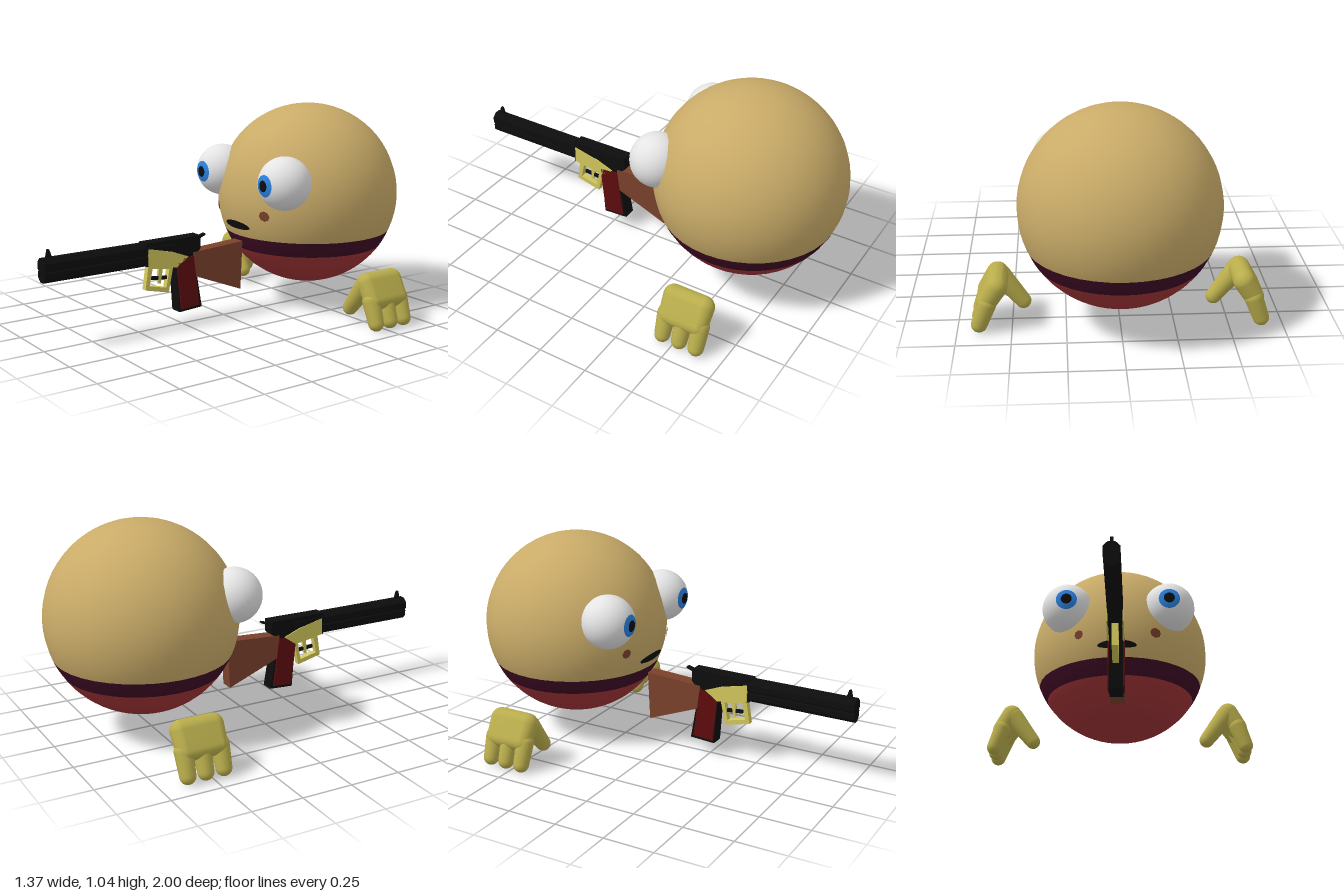
import * as THREE from 'three';

const HEAD = { y: 0.575, z: -0.535, r: 0.465 };

export function createModel() {
  const model = new THREE.Group();
  const paint = (name, color) => {
    const m = new THREE.MeshStandardMaterial({ color });
    m.name = name;
    return m;
  };
  const tan = paint('tan skin', 0xc9ab68);
  const red = paint('red base', 0xa03336);
  const maroon = paint('maroon band', 0x3e0a24);
  const olive = paint('olive glove', 0xb9ad4c);
  const white = paint('eye white', 0xe4e4e4);
  const blue = paint('iris blue', 0x2a80de);
  const black = paint('black', 0x0d0d0d);
  const gold = paint('gold', 0xd2c75c);
  const brown = paint('wood brown', 0x7a412c);
  const darkRed = paint('grip red', 0x5e0c0e);

  const add = (parent, name, geometry, material, x = 0, y = 0, z = 0) => {
    const mesh = new THREE.Mesh(geometry, material);
    mesh.name = name;
    mesh.position.set(x, y, z);
    parent.add(mesh);
    return mesh;
  };
  const group = (name) => {
    const g = new THREE.Group();
    g.name = name;
    model.add(g);
    return g;
  };

  // Head: one ball split into three colour zones
  const head = group('head');
  const angleAt = (y) => Math.acos((y - HEAD.y) / HEAD.r);
  const zone = (name, from, to, material) =>
    add(head, name, new THREE.SphereGeometry(HEAD.r, 40, 20, 0, Math.PI * 2, from, to - from),
      material, 0, HEAD.y, HEAD.z);
  const bandTop = angleAt(0.395), bandBottom = angleAt(0.315);
  zone('skin', 0, bandTop, tan);
  zone('belt', bandTop, bandBottom, maroon);
  zone('base', bandBottom, Math.PI, red);

  // Face patches that hug the ball
  const patch = (name, cx, cy, rx, ry, droop, material, segments) => {
    const g = new THREE.RingGeometry(0, 1, segments, 6);
    const p = g.attributes.position;
    for (let i = 0; i < p.count; i++) {
      const u = p.getX(i), v = p.getY(i);
      const x = cx + u * rx, y = cy + v * ry - droop * u * u;
      const r = HEAD.r + 0.005;
      p.setXYZ(i, x, y, HEAD.z + Math.sqrt(r * r - x * x - (y - HEAD.y) ** 2));
    }
    g.computeVertexNormals();
    add(head, name, g, material);
  };
  patch('rightCheekSpot', -0.2, 0.522, 0.022, 0.024, 0, brown, 8);
  patch('leftCheekSpot', 0.19, 0.526, 0.027, 0.026, 0, brown, 8);
  patch('mouth', -0.005, 0.456, 0.1, 0.021, 0.004, black, 32);

  // Eyes with iris and pupil caps looking straight ahead
  for (const s of [-1, 1]) {
    const eye = group(s < 0 ? 'rightEye' : 'leftEye');
    eye.position.set(s * 0.262, 0.694, -0.178);
    add(eye, 'eyeball', new THREE.SphereGeometry(0.132, 32, 24), white);
    const cap = (name, r, width, material) => {
      const g = new THREE.SphereGeometry(r, 32, 6, 0, Math.PI * 2, 0, Math.asin(width / r));
      add(eye, name, g.rotateX(Math.PI / 2), material);
    };
    cap('iris', 0.134, 0.054, blue);
    cap('pupil', 0.136, 0.028, black);
  }

  // Rounded limb from p to q (in x, y): radius a to b, stretched along z by flat
  const limb = (p, q, a, b, z, flat = 0) => {
    const around = 24, caps = 7, pos = [], index = [];
    const dx = q[0] - p[0], dy = q[1] - p[1], len = Math.hypot(dx, dy);
    const tx = dx / len, ty = dy / len;
    const rings = [];
    for (let k = 0; k < caps; k++) {
      const t = 0.02 + (k / (caps - 1)) * (Math.PI / 2 - 0.02);
      rings.push([-a * Math.cos(t), a * Math.sin(t)]);
    }
    for (let k = 0; k < caps; k++) {
      const t = (k / (caps - 1)) * (Math.PI / 2 - 0.02);
      rings.push([len + b * Math.sin(t), b * Math.cos(t)]);
    }
    for (const [d, r] of rings) {
      for (let j = 0; j < around; j++) {
        const t = ((j + 0.5) / around) * Math.PI * 2;
        const n = r * Math.cos(t);
        pos.push(p[0] + tx * d - ty * n, p[1] + ty * d + tx * n,
          z + r * Math.sin(t) + Math.sign(Math.sin(t)) * flat);
      }
    }
    for (let i = 0; i < rings.length - 1; i++) {
      for (let j = 0; j < around; j++) {
        const k = (j + 1) % around, A = i * around, B = A + around;
        index.push(A + j, A + k, B + k, A + j, B + k, B + j);
      }
    }
    const end = (rings.length - 1) * around;
    for (let j = 1; j < around - 1; j++) {
      index.push(0, j + 1, j, end, end + j, end + j + 1);
    }
    const g = new THREE.BufferGeometry();
    g.setAttribute('position', new THREE.Float32BufferAttribute(pos, 3));
    g.setIndex(index);
    g.computeVertexNormals();
    return g;
  };

  // Floating hands: slab palm, three fingers, forward thumb
  for (const s of [-1, 1]) {
    const hand = group(s < 0 ? 'rightHand' : 'leftHand');
    add(hand, 'palm', limb([s * 0.565, 0.219], [s * 0.614, 0.14], 0.051, 0.046, -0.533, 0.078), olive);
    for (const z of [-0.443, -0.533, -0.621]) {
      add(hand, 'finger', limb([s * 0.61, 0.14], [s * 0.648, 0.038], 0.044, 0.038, z), olive);
    }
    add(hand, 'thumb', limb([s * 0.553, 0.205], [s * 0.449, 0.07], 0.05, 0.037, -0.453), olive);
  }

  // Rifle: side profiles in (z, y) given a width in x
  const gun = group('rifle');
  const profile = (name, points, width, material, x = 0, holes = []) => {
    const toVec = (pts) => pts.map(([z, y]) => new THREE.Vector2(z, y));
    const shape = new THREE.Shape(toVec(points));
    for (const h of holes) shape.holes.push(new THREE.Path(toVec(h)));
    const g = new THREE.ExtrudeGeometry(shape, { depth: width, bevelEnabled: false });
    g.rotateY(-Math.PI / 2).translate(width / 2, 0, 0);
    return add(gun, name, g, material, x);
  };
  const tube = (name, r, y, z0, z1) => {
    const g = new THREE.CylinderGeometry(r, r, z1 - z0, 8, 1).rotateY(Math.PI / 8);
    g.rotateX(Math.PI / 2);
    add(gun, name, g.toNonIndexed(), black, 0, y, (z0 + z1) / 2).geometry.computeVertexNormals();
  };
  tube('barrel', 0.04, 0.4, 0.3, 1);
  tube('magazineTube', 0.036, 0.357, 0.42, 1);
  profile('frontSight', [[0.978, 0.43], [0.968, 0.475], [0.96, 0.475], [0.945, 0.43]], 0.014, black);
  profile('receiver', [[0.47, 0.438], [0.16, 0.44], [0.16, 0.375], [0.2, 0.34], [0.3, 0.31], [0.47, 0.325]],
    0.068, black);
  profile('hammer', [[0.17, 0.41], [0.115, 0.432], [0.118, 0.44], [0.17, 0.425]], 0.022, black);
  for (const s of [-1, 1]) {
    profile('receiverPlate', [[0.46, 0.412], [0.33, 0.382], [0.235, 0.345], [0.3, 0.3], [0.46, 0.327]],
      0.008, gold, s * 0.036);
    profile('gripPanel', [[0.304, 0.335], [0.205, 0.343], [0.172, 0.092], [0.278, 0.084]],
      0.008, darkRed, s * 0.036);
  }

  // Trigger guard frame with trigger
  profile('triggerGuard', [[0.446, 0.335], [0.305, 0.315], [0.335, 0.174], [0.466, 0.205]], 0.03, gold, 0,
    [[[0.425, 0.305], [0.33, 0.29], [0.348, 0.2], [0.443, 0.222]]]);
  profile('trigger', [[0.385, 0.31], [0.36, 0.31], [0.375, 0.225], [0.388, 0.225]], 0.014, gold);
  profile('triggerSear', [[0.425, 0.265], [0.425, 0.248], [0.34, 0.24], [0.34, 0.257]], 0.012, black);

  // Grip and shoulder stock
  profile('grip', [[0.304, 0.34], [0.2, 0.345], [0.155, 0.078], [0.285, 0.07]], 0.066, black);
  profile('stock', [[0.205, 0.36], [-0.092, 0.377], [-0.08, 0.13], [0.21, 0.245]], 0.07, brown);

  return model;
}
